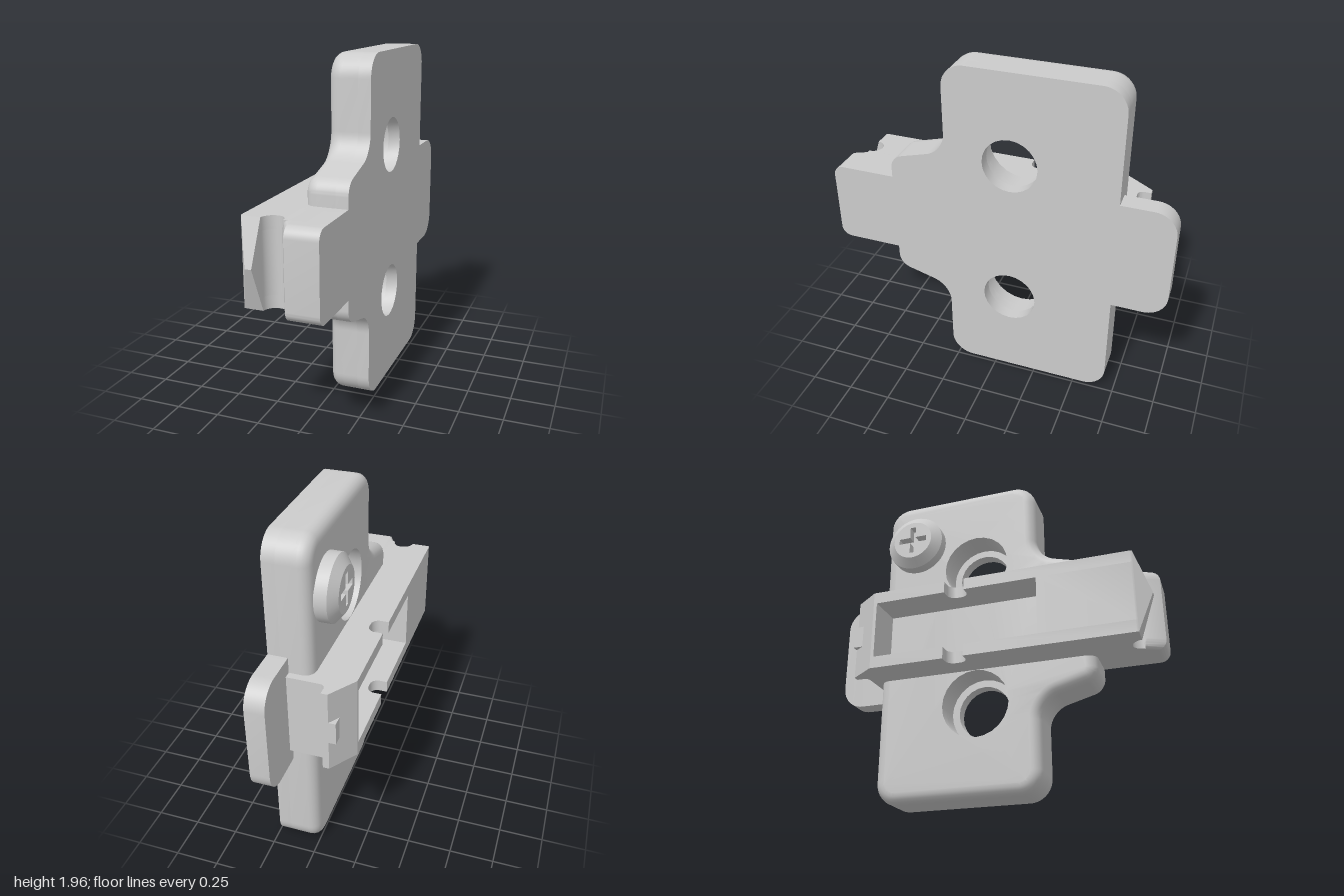
import * as THREE from 'three';
import { toCreasedNormals } from 'three/addons/utils/BufferGeometryUtils.js';
import { ConvexGeometry } from 'three/addons/geometries/ConvexGeometry.js';

const MID = 0.978; // height of the mirror plane
const HOLES = [[0.085, 1.422], [0.085, 0.534]]; // [u, y], where u = -z
const HOLE_R = 0.157, BORE_R = 0.2;

// Closed shape from [a, b, cornerRadius] points
function rounded(points) {
  const shape = new THREE.Shape();
  const n = points.length;
  points.forEach(([a, b, r = 0], i) => {
    const p = new THREE.Vector2(a, b);
    const toward = (q, d) => new THREE.Vector2(q[0], q[1]).sub(p).setLength(d).add(p);
    const prev = points[(i + n - 1) % n], next = points[(i + 1) % n];
    const s = r ? toward(prev, r) : p, e = r ? toward(next, r) : p;
    if (i === 0) shape.moveTo(s.x, s.y); else shape.lineTo(s.x, s.y);
    if (r) {
      const c1 = s.clone().lerp(p, 0.552), c2 = e.clone().lerp(p, 0.552);
      shape.bezierCurveTo(c1.x, c1.y, c2.x, c2.y, e.x, e.y);
    }
  });
  shape.closePath();
  return shape;
}

const mirrored = (half) => [...half, ...half.map(([u, y, r]) => [u, 2 * MID - y, r]).reverse()];

// Shape in (u, y), extruded along x
function slabX(shape, x0, x1, options = {}) {
  return new THREE.ExtrudeGeometry(shape, { depth: x1 - x0, bevelEnabled: false, curveSegments: 12, ...options })
    .translate(0, 0, x0).rotateY(Math.PI / 2);
}

// Shape in (x, u), extruded along y
function slabY(points, y0, y1) {
  return new THREE.ExtrudeGeometry(rounded(points), { depth: y1 - y0, bevelEnabled: false, curveSegments: 8 })
    .translate(0, 0, y0).rotateX(-Math.PI / 2);
}

// Plate outline (clockwise) with both screw holes (counterclockwise)
function plateShape(radius) {
  const shape = rounded(mirrored([
    [-0.62, 1.347, 0.065], [-0.29, 1.438, 0.11], [-0.29, 2 * MID, 0.13], [0.69, 2 * MID, 0.13],
  ]));
  for (const [u, y] of HOLES) {
    shape.holes.push(new THREE.Path().absarc(u, y, radius, 0, Math.PI * 2, false));
  }
  return shape;
}

function editVertices(geo, fn) {
  const pos = geo.attributes.position;
  const v = new THREE.Vector3();
  for (let i = 0; i < pos.count; i++) {
    fn(v.fromBufferAttribute(pos, i));
    pos.setXYZ(i, v.x, v.y, v.z);
  }
  return geo;
}

export function createModel() {
  const model = new THREE.Group();
  const material = new THREE.MeshStandardMaterial({ color: 0xcccccc });
  const add = (name, geo, crease = 0.6, parent = model) => {
    const mesh = new THREE.Mesh(toCreasedNormals(geo, crease), material);
    mesh.name = name;
    parent.add(mesh);
  };

  // Mounting plate: back layer with small holes, counterbored layer, rounded face
  add('plateBase', slabX(plateShape(HOLE_R), 0.16, 0.23));
  add('plateCore', slabX(plateShape(BORE_R), 0.055, 0.16));
  const face = slabX(plateShape(BORE_R), 0.05, 0.07, {
    bevelEnabled: true, bevelThickness: 0.06, bevelSize: 0.06, bevelOffset: -0.06, bevelSegments: 5,
  });
  // Keep the counterbores straight through the rounded layer
  editVertices(face, (v) => {
    for (const [u, y] of HOLES) {
      const dz = v.z + u, dy = v.y - y, d = Math.hypot(dz, dy);
      if (d > 0.28) continue;
      v.z = -u + dz * BORE_R / d;
      v.y = y + dy * BORE_R / d;
    }
  });
  add('plateFace', face);

  // Thin rear tab
  add('rearTab', slabX(rounded(mirrored([[0.66, 1.31], [1, 1.31, 0.13]])), 0.12, 0.23));

  // Front block with its sloped inner edge
  const nose = () => rounded(mirrored([[-0.6, 1.22], [-1, 1.22, 0.06]]));
  add('frontBlock', slabX(nose(), 0.05, 0.23));
  add('frontBlockSlope', editVertices(slabX(nose(), 0, 0.05), (v) => {
    if (v.x < 0.01 && v.z > 0.9) v.z -= 0.1;
  }));

  // Rail: two side walls with notches, joined by end blocks around a pocket
  const rail = new THREE.Group();
  rail.name = 'rail';
  model.add(rail);
  const rear = [[0.12, 0.73], [-0.09, 0.73, 0.03], [-0.09, 0.8], [-0.125, 0.8], [-0.23, 0.65]];
  const notch = [[-0.23, 0.2], [-0.14, 0.2, 0.045], [-0.14, 0.08, 0.045], [-0.23, 0.08]];
  const front = [
    [-0.23, -0.88], [-0.225, -0.89], [-0.12, -0.89], [-0.11, -0.83, 0.054],
    [0, -0.83, 0.054], [0, -0.89], [0.12, -0.89],
  ];
  const bottom = 0.736, top = 1.22, wall = 0.07;
  add('lowerRailWall', slabY([...rear, ...notch, ...front], bottom, bottom + wall), 0.6, rail);
  add('upperRailWall', slabY([...rear, ...notch, ...front], top - wall, top), 0.6, rail);
  add('railRearBlock', slabY([...rear, [-0.23, 0.63], [0.12, 0.63]], bottom + wall, top - wall), 0.6, rail);
  add('railFrontBlock', slabY([[0.12, -0.35], [-0.23, -0.35], ...front], bottom + wall, top - wall), 0.6, rail);

  // Small catch on the rear end of the rail
  add('rearCatch', new THREE.BoxGeometry(0.075, 0.13, 0.08).translate(-0.1275, MID, -0.76), 0.3, rail);

  // Ridged hook lip at the front end of the rail
  const lip = [[-0.17, MID, 0.975], [-0.135, MID, 0.975]];
  for (const y of [bottom, top]) lip.push([-0.225, y, 0.89], [-0.12, y, 0.89]);
  add('hookLip', new ConvexGeometry(lip.map((p) => new THREE.Vector3(...p))), 0.1, rail);

  // Adjusting screw with a cross recess, built along +y and turned to face -x
  const screw = new THREE.Group();
  screw.name = 'screw';
  const profile = [[0.18, 0], [0.18, 0.067], [0.125, 0.109]].map((p) => new THREE.Vector2(...p));
  add('screwHead', new THREE.LatheGeometry(profile, 40), 0.4, screw);
  const cap = new THREE.Shape().absarc(0, 0, 0.125, 0, Math.PI * 2);
  const a = 0.09, w = 0.018;
  cap.holes.push(new THREE.Path([
    [a, w], [w, w], [w, a], [-w, a], [-w, w], [-a, w], [-a, -w], [-w, -w], [-w, -a], [w, -a], [w, -w], [a, -w],
  ].map((p) => new THREE.Vector2(...p))));
  add('screwCap', new THREE.ExtrudeGeometry(cap, { depth: 0.06, bevelEnabled: false, curveSegments: 20 })
    .rotateX(-Math.PI / 2).translate(0, 0.049, 0), 0.4, screw);
  add('recessFloor', new THREE.CircleGeometry(0.12, 24).rotateX(-Math.PI / 2).translate(0, 0.055, 0), 0.4, screw);
  screw.rotation.z = Math.PI / 2;
  screw.position.set(-0.008, 1.624, -0.47);
  model.add(screw);

  return model;
}
